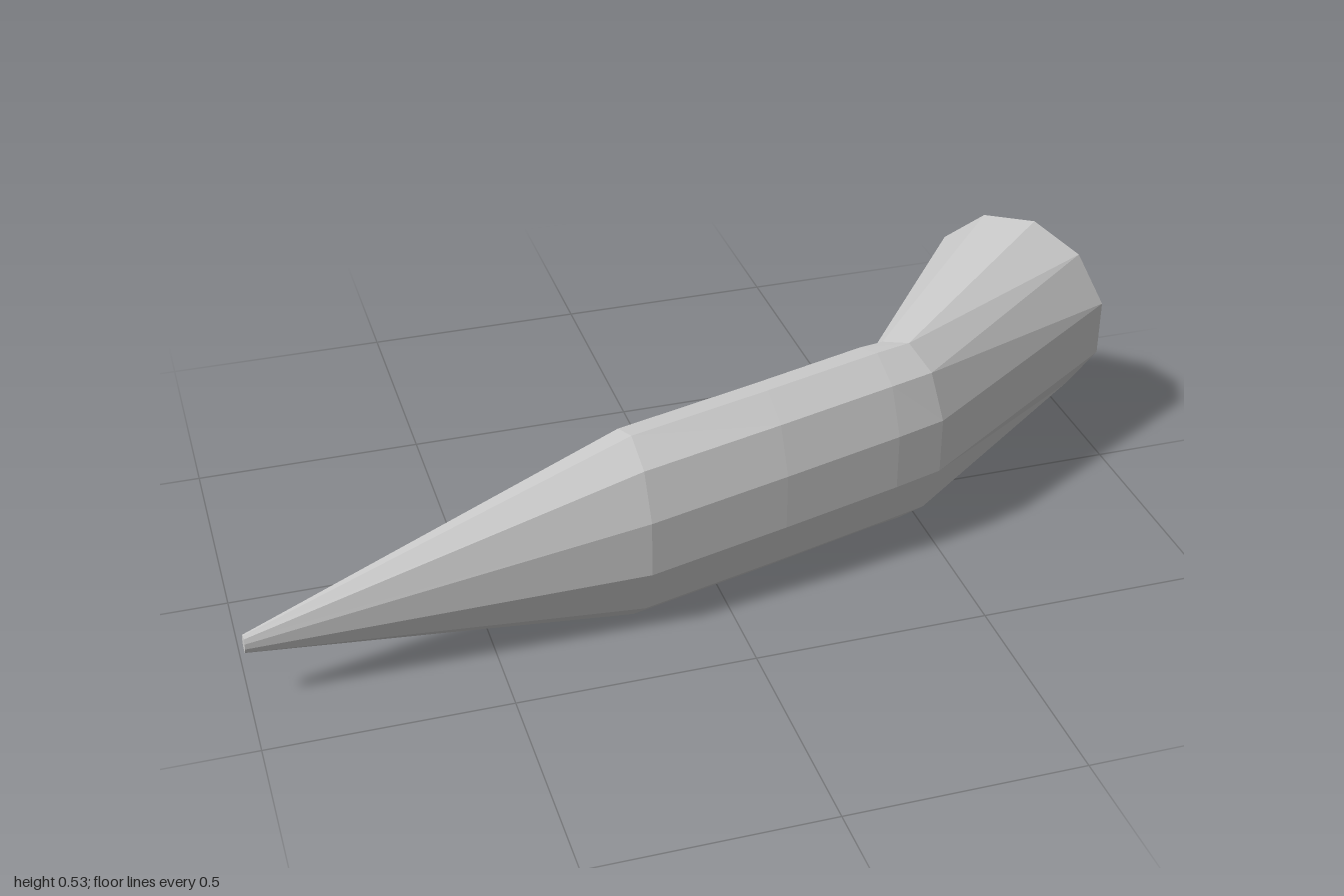
import * as THREE from 'three';

const SIDES = 11;
const START = THREE.MathUtils.degToRad(16);

// Elliptical rings from the tip to the open end:
// centre x, y, z, then half width along x and z, then half height
const RINGS = [
  [-1.0, 0.152, 0.352, 0.001, 0.011, 0.021],
  [-0.2, 0.223, 0.268, 0.02, 0.108, 0.221],
  [0.1, 0.248, 0.22, 0.022, 0.107, 0.221],
  [0.355, 0.264, 0.168, 0.03, 0.106, 0.221],
  [0.425, 0.267, 0.156, 0.07, 0.088, 0.221],
  [0.855, 0.311, -0.215, 0.145, 0.166, 0.222],
];

function hornGeometry() {
  const positions = [];
  const index = [];
  for (const [x, y, z, wx, wz, h] of RINGS) {
    for (let j = 0; j < SIDES; j++) {
      const a = START + (j / SIDES) * Math.PI * 2;
      const c = Math.cos(a);
      positions.push(x + wx * c, y + h * Math.sin(a), z + wz * c);
    }
  }
  // Skin between neighbouring rings
  for (let i = 0; i < RINGS.length - 1; i++) {
    for (let j = 0; j < SIDES; j++) {
      const k = (j + 1) % SIDES;
      const a = i * SIDES + j, b = i * SIDES + k;
      const c = a + SIDES, d = b + SIDES;
      index.push(a, c, b, b, c, d);
    }
  }
  // Small cap closing the tip
  for (let j = 1; j < SIDES - 1; j++) index.push(0, j, j + 1);

  const geometry = new THREE.BufferGeometry();
  geometry.setAttribute('position', new THREE.Float32BufferAttribute(positions, 3));
  geometry.setIndex(index);
  const flat = geometry.toNonIndexed();
  flat.computeVertexNormals();
  return flat;
}

export function createModel() {
  const group = new THREE.Group();
  group.name = 'bentHorn';

  // Hollow bent horn, open at the wide end
  const material = new THREE.MeshStandardMaterial({
    color: 0xcccccc,
    flatShading: true,
    side: THREE.DoubleSide,
  });
  const horn = new THREE.Mesh(hornGeometry(), material);
  horn.name = 'hornShell';
  group.add(horn);
  return group;
}
